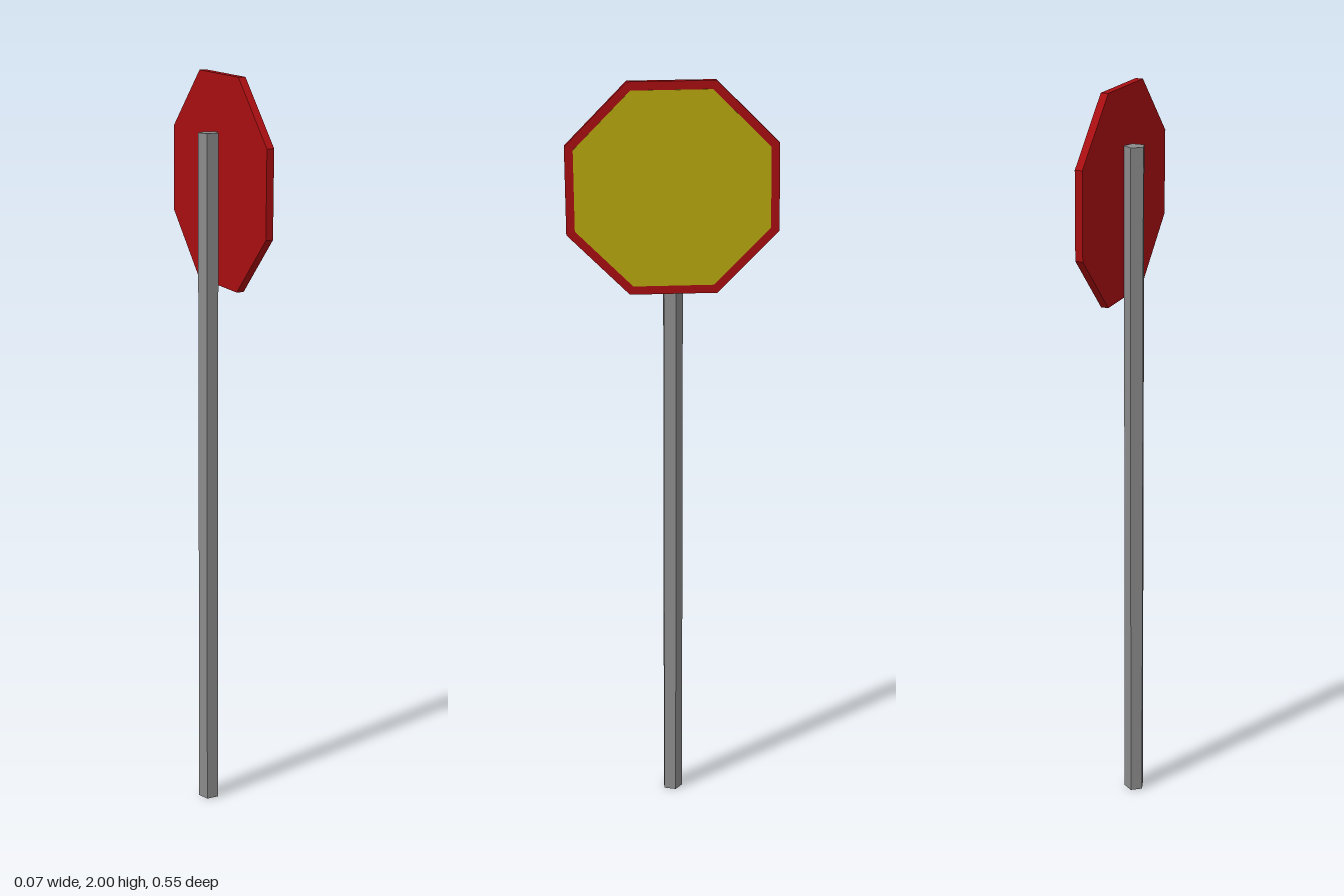
import * as THREE from 'three';

const material = (name, color) => {
  const m = new THREE.MeshStandardMaterial({ color, flatShading: true });
  m.name = name;
  return m;
};

// Octagonal plate with its axis along x, flat edge on top, spanning x0..x1
function octagon(name, apothem, x0, x1, mat) {
  const r = apothem / Math.cos(Math.PI / 8);
  const geo = new THREE.CylinderGeometry(r, r, x1 - x0, 8, 1, false, Math.PI / 8);
  geo.rotateZ(-Math.PI / 2);
  geo.translate((x0 + x1) / 2, 0, 0);
  const mesh = new THREE.Mesh(geo, mat);
  mesh.name = name;
  return mesh;
}

export function createModel() {
  const grey = material('pole grey', 0x8a8a8a);
  const red = material('sign red', 0xa80e11);
  const yellow = material('sign yellow', 0xb8a910);

  const model = new THREE.Group();
  model.name = 'roadSign';

  // Five-sided pole with one corner pointing back
  const poleGeo = new THREE.CylinderGeometry(0.028, 0.028, 1.85, 5);
  poleGeo.rotateY(Math.PI);
  const pole = new THREE.Mesh(poleGeo, grey);
  pole.name = 'pole';
  pole.position.set(-0.011, 0.925, -0.001);
  model.add(pole);

  // Sign board facing +x, very slightly crooked
  const sign = new THREE.Group();
  sign.name = 'sign';
  sign.position.set(0, 1.725, 0);
  sign.rotation.x = 0.01;
  sign.add(octagon('signBoard', 0.274, 0.015, 0.035, red));
  sign.add(octagon('signFace', 0.252, 0.034, 0.0365, yellow));
  model.add(sign);

  return model;
}
